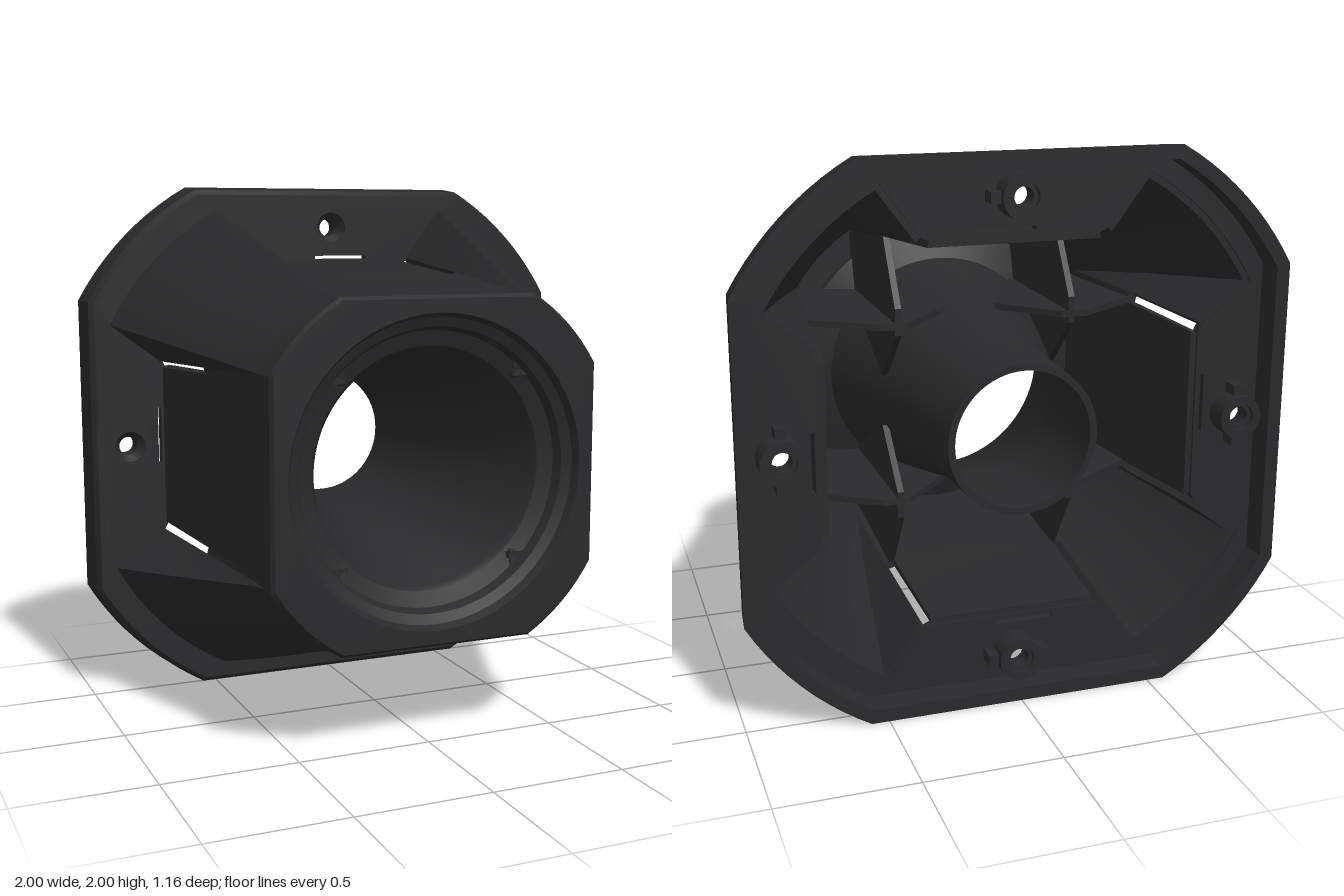
import * as THREE from 'three';
import { toCreasedNormals } from 'three/addons/utils/BufferGeometryUtils.js';

const V2 = (x, y) => new THREE.Vector2(x, y);
const material = new THREE.MeshStandardMaterial({ color: 0x29292b, side: THREE.DoubleSide });

function add(parent, name, geometry, crease = 0.5) {
  const mesh = new THREE.Mesh(toCreasedNormals(geometry, crease), material);
  mesh.name = name;
  parent.add(mesh);
  return mesh;
}

// Rotate a 2D point by quarter turns
function turn(p, n) {
  return [V2(p.x, p.y), V2(-p.y, p.x), V2(-p.x, -p.y), V2(p.y, -p.x)][n];
}

// Move a closed counter-clockwise outline inwards by t
function inset(pts, t) {
  const n = pts.length;
  return pts.map((p, i) => {
    const a = p.clone().sub(pts[(i + n - 1) % n]).normalize();
    const b = pts[(i + 1) % n].clone().sub(p).normalize();
    const s = t / Math.max(0.5, 1 + a.dot(b));
    return V2(p.x - (a.y + b.y) * s, p.y + (a.x + b.x) * s);
  });
}

// Points on the arc from a to its mirror image across the diagonal
function cornerArc(a, steps) {
  const r = a.length(), t0 = Math.atan2(a.y, a.x), t1 = Math.PI / 2 - t0;
  return Array.from({ length: steps + 1 }, (_, i) => {
    const t = t0 + (t1 - t0) * i / steps;
    return V2(r * Math.cos(t), r * Math.sin(t));
  });
}

// Square with circular corners
function flangeOutline() {
  const pts = [];
  for (let q = 0; q < 4; q++) cornerArc(V2(1, 0.565), 10).forEach(p => pts.push(turn(p, q)));
  return pts;
}

// Housing section at depth z: four flat panels and four flaring corner lobes
const PER_SIDE = 13;
function section(z) {
  const k = Math.min(1, Math.max(0, (0.465 - z) / 0.905));
  const P = 0.62 + 0.09 * k, s0 = 0.34 - 0.035 * k, s1 = 0.36 - 0.03 * k;
  const side = [V2(P, -s0), V2(P, s0), V2(P + 0.012 * k, s1),
    ...cornerArc(V2(0.62 + 0.3 * k, 0.365 + 0.115 * k), 8), V2(s1, P + 0.012 * k)];
  const pts = [];
  for (let q = 0; q < 4; q++) side.forEach(p => pts.push(turn(p, q)));
  return pts;
}

// Skin through rings [{pts, z}], with end caps or joined end to end
function loft(rings, joined = false) {
  const pos = [], idx = [], n = rings[0].pts.length, m = rings.length;
  rings.forEach(r => r.pts.forEach(p => pos.push(p.x, p.y, r.z)));
  for (let i = 0; i < (joined ? m : m - 1); i++) {
    for (let j = 0; j < n; j++) {
      const a = i * n + j, b = i * n + (j + 1) % n;
      const c = ((i + 1) % m) * n + (j + 1) % n, d = ((i + 1) % m) * n + j;
      idx.push(a, b, c, a, c, d);
    }
  }
  if (!joined) {
    const cap = (k, flip) => THREE.ShapeUtils.triangulateShape(rings[k].pts, []).forEach(([a, b, c]) =>
      idx.push(k * n + a, k * n + (flip ? c : b), k * n + (flip ? b : c)));
    cap(0, true);
    cap(m - 1, false);
  }
  const g = new THREE.BufferGeometry();
  g.setAttribute('position', new THREE.Float32BufferAttribute(pos, 3));
  g.setIndex(idx);
  g.computeVertexNormals();
  return g;
}

function plate(outline, holes, z0, z1) {
  const shape = new THREE.Shape(outline);
  shape.holes = holes.map(h => new THREE.Path(h));
  return new THREE.ExtrudeGeometry(shape, { depth: z1 - z0, bevelEnabled: false }).translate(0, 0, z0);
}

const circle = (x, y, r, n = 32) => Array.from({ length: n }, (_, i) =>
  V2(x + r * Math.cos(i / n * 2 * Math.PI), y + r * Math.sin(i / n * 2 * Math.PI)));

// Lathe of a closed (radius, z) profile around the z axis
function turned(profile, sides) {
  const pts = [...profile, profile[0]].map(([r, z]) => V2(r, z));
  return new THREE.LatheGeometry(pts, sides).rotateX(Math.PI / 2);
}

export function createModel() {
  const model = new THREE.Group();
  model.name = 'housing';
  const body = new THREE.Group();
  body.name = 'body';
  body.position.y = 1;
  model.add(body);

  // Housing wall in strips, leaving slits beside the panels open towards the flange
  const WALL = 0.035;
  const levels = z0 => [z0, 0, 0.42, 0.5, 0.565, 0.58].filter((z, i) => i === 0 || z > z0);
  const strip = (from, to, z0) => loft(levels(z0).map(z => {
    const outer = inset(section(z), z > 0.57 ? 0.012 : 0), inner = inset(outer, WALL);
    const run = Array.from({ length: to - from + 1 }, (_, i) => (from + i) % outer.length);
    return { z, pts: [...run.map(i => outer[i]), ...run.reverse().map(i => inner[i])] };
  }));
  for (let q = 0; q < 4; q++) {
    const s = q * PER_SIDE;
    add(body, 'sidePanel', strip(s, s + 1, -0.47));
    add(body, 'slitEnd', strip(s + 1, s + 2, 0));
    add(body, 'cornerLobe', strip(s + 2, s + 12, -0.47));
    add(body, 'slitEnd', strip(s + 12, s + 13, 0));
  }
  add(body, 'frontFace', plate(inset(section(0.58), 0.03), [circle(0, 0, 0.56, 64)], 0.54, 0.58));

  // Funnel with stepped mouth and open tube at the back
  add(body, 'funnel', turned([
    [0.25, -0.57], [0.275, -0.57], [0.29, -0.16], [0.455, 0.45], [0.58, 0.5], [0.58, 0.57],
    [0.56, 0.58], [0.545, 0.55], [0.51, 0.535], [0.495, 0.5], [0.44, 0.48], [0.425, 0.46], [0.26, -0.16],
  ], 64));

  // Flange: rim around a front plate
  const edge = flangeOutline();
  add(body, 'flangeRim', loft([
    { pts: edge, z: -0.58 }, { pts: inset(edge, 0.012), z: -0.46 }, { pts: inset(edge, 0.03), z: -0.44 },
    { pts: inset(edge, 0.055), z: -0.44 }, { pts: inset(edge, 0.05), z: -0.58 },
  ], true));
  const holes = [inset(section(-0.44), 0.012)];
  for (let q = 0; q < 4; q++) {
    holes.push(circle(0.843, 0, 0.06).map(p => turn(p, q)));
    holes.push([V2(0.718, -0.15), V2(0.731, -0.15), V2(0.731, 0.07), V2(0.718, 0.07)].map(p => turn(p, q)));
  }
  add(body, 'flangePlate', plate(inset(edge, 0.04), holes, -0.48, -0.44));

  for (let q = 0; q < 4; q++) {
    const side = new THREE.Group();
    side.name = 'sideFittings';
    side.rotation.z = q * Math.PI / 2;
    body.add(side);

    // Screw boss with countersunk front and side lugs
    const boss = turned([
      [0.035, -0.55], [0.05, -0.55], [0.05, -0.57], [0.08, -0.57], [0.08, -0.47], [0.06, -0.45], [0.035, -0.48],
    ], 24);
    add(side, 'screwBoss', boss.translate(0.843, 0, 0));
    for (const s of [-1, 1]) {
      add(side, 'bossLug', new THREE.BoxGeometry(0.04, 0.05, 0.07).translate(0.843, s * 0.09, -0.51));

      // Rib between funnel and panel, in line with a slit
      const rib = new THREE.Shape([V2(0.1, 0.05), V2(0.3, -0.16), V2(0.4, -0.16), V2(0.645, 0),
        V2(0.6, 0.54), V2(0.32, 0.5)]);
      const ribGeometry = new THREE.ExtrudeGeometry(rib, { depth: 0.024, bevelEnabled: false })
        .rotateX(Math.PI / 2).translate(0, s * 0.335 + 0.012, 0);
      add(side, 'innerRib', ribGeometry);
    }
  }
  return model;
}
